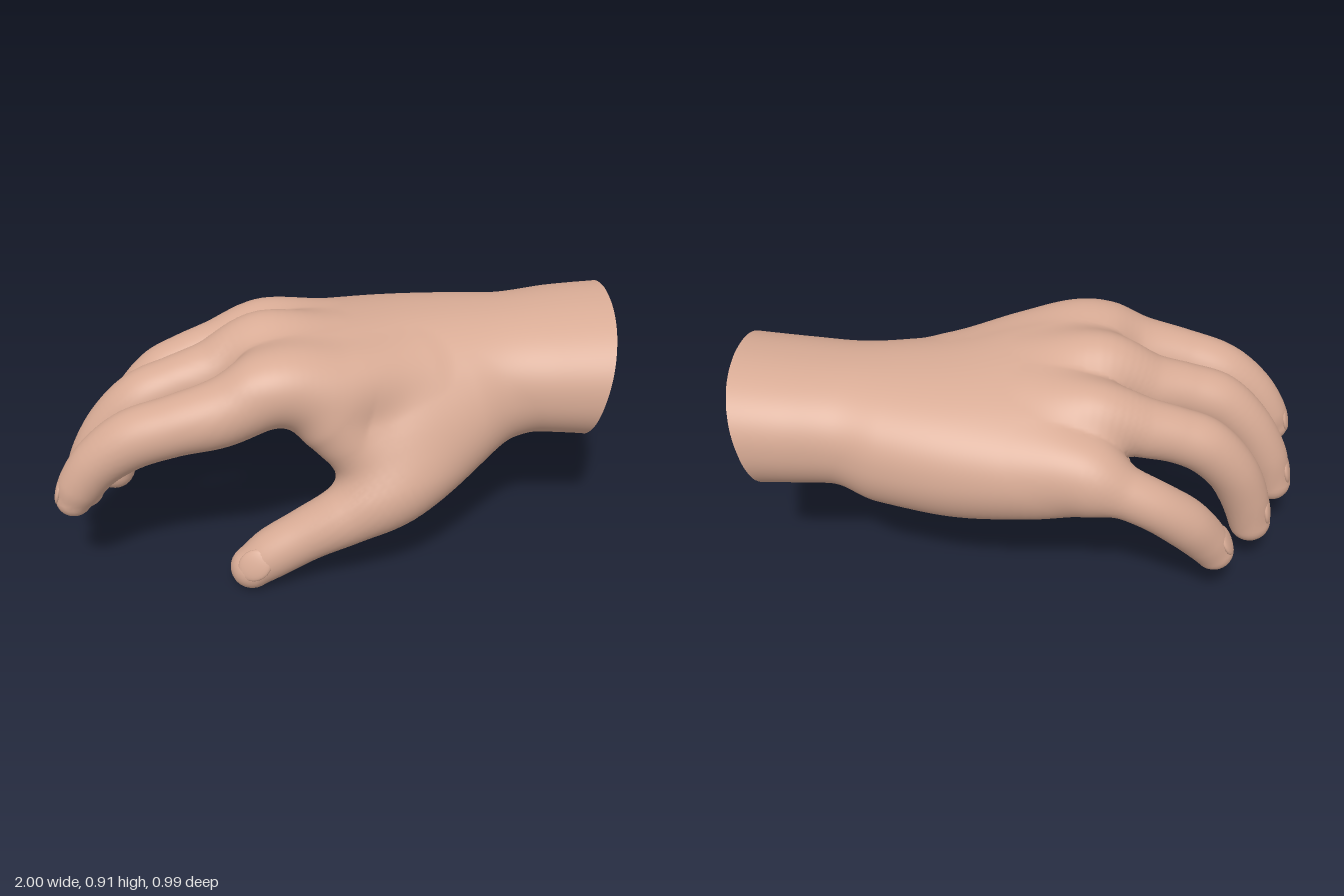
import * as THREE from 'three';

// Joint chains: x, y, z, radius from the palm to the tip
const FINGERS = {
  indexFinger: [[.27, .69, .11, .12], [.03, .725, .25, .122], [-.2, .755, .315, .128], [-.4, .682, .36, .118], [-.55, .646, .38, .106], [-.7, .596, .386, .103], [-.815, .512, .39, .091], [-.885, .42, .39, .08], [-.915, .362, .39, .064]],
  middleFinger: [[-.03, .75, .02, .1], [-.25, .788, .05, .124], [-.44, .702, .085, .112], [-.57, .667, .115, .102], [-.69, .62, .138, .102], [-.8, .52, .148, .093], [-.88, .385, .157, .086], [-.924, .257, .16, .072]],
  ringFinger: [[-.05, .73, -.16, .1], [-.25, .735, -.18, .122], [-.44, .675, -.152, .106], [-.55, .64, -.13, .099], [-.65, .59, -.107, .1], [-.75, .48, -.08, .094], [-.81, .35, -.055, .088], [-.845, .218, -.043, .077]],
  littleFinger: [[-.05, .63, -.33, .1], [-.23, .625, -.355, .112], [-.38, .56, -.372, .093], [-.5, .495, -.36, .088], [-.6, .408, -.324, .09], [-.67, .317, -.286, .083], [-.716, .244, -.264, .072]],
  thumb: [[.55, .53, .03, .13], [.38, .46, .17, .16], [.2, .375, .315, .153], [.05, .29, .375, .113], [-.1, .208, .387, .096], [-.22, .137, .397, .091], [-.3, .08, .408, .078]]
};
const HEEL = [[.45, .56, -.26, .17], [.2, .55, -.285, .185], [-.05, .56, -.315, .164], [-.25, .57, -.34, .13]];
const WEB = [[.44, .57, .11, .13], [.28, .56, .2, .135], [.15, .53, .275, .122], [.06, .54, .315, .105], [-.02, .62, .315, .105]];

// Palm and wrist sections along x: centre y, centre z, half height, half width, slope
const SECTION_X = [-.4, -.3, -.15, .05, .25, .45, .6, .8, 1.1];
const SECTIONS = new THREE.CubicInterpolant(SECTION_X, [
  .68, -.01, .1, .4, .2,
  .69, -.01, .135, .42, .2,
  .69, -.02, .18, .435, .15,
  .65, -.05, .222, .425, .08,
  .625, -.1, .238, .38, .03,
  .62, -.125, .24, .34, 0,
  .63, -.13, .229, .31, -.03,
  .637, -.145, .237, .323, -.06,
  .635, -.155, .258, .337, -.07
], 5, new Float32Array(5));
const POWER = 2.2;

const smin = (a, b, k) => {
  const h = Math.max(k - Math.abs(a - b), 0) / k;
  return Math.min(a, b) - h * h * k / 4;
};
const smax = (a, b, k) => -smin(-a, -b, k);
const wristX = (y, z) => .943 + .225 * (y - .635) + .06 * (z + .155);

// Distance to a smooth chain of tapered round segments
function chain(points) {
  const curve = new THREE.CatmullRomCurve3(points.map(p => new THREE.Vector3(p[0], p[1], p[2])));
  const radius = new THREE.SplineCurve(points.map((p, i) => new THREE.Vector2(i, p[3])));
  const n = (points.length - 1) * 9, nodes = [];
  const box = new THREE.Box3();
  for (let i = 0; i <= n; i++) {
    const p = curve.getPoint(i / n);
    nodes.push([p.x, p.y, p.z, radius.getPoint(i / n).y]);
    box.expandByPoint(p);
  }
  box.expandByScalar(Math.max(...points.map(p => p[3])));
  const probe = new THREE.Vector3();
  return (x, y, z) => {
    const far = box.distanceToPoint(probe.set(x, y, z));
    if (far > .12) return far;
    let best = 9;
    for (let i = 0; i < n; i++) {
      const a = nodes[i], b = nodes[i + 1];
      const bx = b[0] - a[0], by = b[1] - a[1], bz = b[2] - a[2];
      const px = x - a[0], py = y - a[1], pz = z - a[2];
      const t = Math.min(1, Math.max(0, (px * bx + py * by + pz * bz) / (bx * bx + by * by + bz * bz)));
      const qx = px - t * bx, qy = py - t * by, qz = pz - t * bz;
      const d = Math.sqrt(qx * qx + qy * qy + qz * qz) - a[3] - t * (b[3] - a[3]);
      if (d < best) best = d;
    }
    return best;
  };
}

const NAMES = Object.keys(FINGERS);
const fields = NAMES.map(name => chain(FINGERS[name]));
const longFingers = fields.slice(0, 4), thumb = fields[4];
const heel = chain(HEEL), web = chain(WEB);

// Palm and forearm: oval sections, heel pad, thumb web and a shallow hollow below
function palm(x, y, z) {
  const [cy, cz, ry, rz, slope] = SECTIONS.evaluate(x);
  const a = Math.abs(y - cy - slope * (z - cz)) / ry, b = Math.abs(z - cz) / rz;
  const n = Math.pow(a ** POWER + b ** POWER, 1 / POWER);
  let d = -.12;
  if (n > .3) {
    const grad = Math.hypot(a ** (POWER - 1) / ry, b ** (POWER - 1) / rz) / n ** (POWER - 1);
    d = (n - 1) / grad;
  }
  d = smax(d, -.35 - x, .1);
  d = smin(smin(d, heel(x, y, z), .07), web(x, y, z), .1);
  return smax(d, .15 - Math.hypot(x + .1, y - .385, z - .06), .1);
}

// Long fingers blend into the palm and thumb but not into their neighbours
function hand(x, y, z) {
  const body = smin(palm(x, y, z), thumb(x, y, z), .1);
  let d = body;
  for (const f of longFingers) d = Math.min(d, smin(body, f(x, y, z), .06));
  return d;
}

// Continuous skin over the distance field, divided into named parts
function buildSkin() {
  const h = .016, lo = [-1.06, -.06, -.56], size = [134, 65, 71];
  const step = [1, size[0], size[0] * size[1]], total = step[2] * size[2];
  const value = new Float32Array(total), vertex = new Int32Array(total).fill(-1);
  const at = (i, j, k) => i + j * step[1] + k * step[2];
  for (let k = 0; k < size[2]; k++) for (let j = 0; j < size[1]; j++) for (let i = 0; i < size[0]; i++)
    value[at(i, j, k)] = hand(lo[0] + i * h, lo[1] + j * h, lo[2] + k * h);

  const positions = [], normals = [], beyond = [];
  const gradient = (x, y, z) => {
    const e = .01;
    return new THREE.Vector3(hand(x + e, y, z) - hand(x - e, y, z),
      hand(x, y + e, z) - hand(x, y - e, z), hand(x, y, z + e) - hand(x, y, z - e)).normalize();
  };
  for (let k = 0; k < size[2] - 1; k++) for (let j = 0; j < size[1] - 1; j++) for (let i = 0; i < size[0] - 1; i++) {
    const base = at(i, j, k), sum = [0, 0, 0];
    let count = 0;
    for (let c = 0; c < 8; c++) for (let axis = 0; axis < 3; axis++) {
      if (c >> axis & 1) continue;
      const bits = [c & 1, c >> 1 & 1, c >> 2 & 1];
      const p = base + at(...bits), a = value[p], b = value[p + step[axis]];
      if ((a < 0) === (b < 0)) continue;
      bits[axis] += a / (a - b);
      bits.forEach((v, m) => { sum[m] += v; });
      count++;
    }
    if (!count) continue;
    const p = new THREE.Vector3(i + sum[0] / count, j + sum[1] / count, k + sum[2] / count)
      .multiplyScalar(h).add(new THREE.Vector3(...lo));
    const normal = gradient(p.x, p.y, p.z);
    p.addScaledVector(normal, -THREE.MathUtils.clamp(hand(p.x, p.y, p.z), -h / 3, h / 3));
    const cut = wristX(p.y, p.z);
    vertex[base] = beyond.length;
    beyond.push(p.x > cut);
    positions.push(Math.min(p.x, cut), p.y, p.z);
    normals.push(normal.x, normal.y, normal.z);
  }

  const parts = [...NAMES.map(() => []), []];
  const addTriangle = tri => {
    if (tri.every(v => beyond[v])) return;
    const c = [0, 1, 2].map(m => tri.reduce((s, v) => s + positions[v * 3 + m] / 3, 0));
    const distances = [...fields.map(f => f(...c)), palm(...c)];
    parts[distances.indexOf(Math.min(...distances))].push(...tri);
  };
  for (let k = 1; k < size[2] - 1; k++) for (let j = 1; j < size[1] - 1; j++) for (let i = 1; i < size[0] - 1; i++)
    for (let axis = 0; axis < 3; axis++) {
      const p = at(i, j, k), inside = value[p] < 0;
      if (inside === (value[p + step[axis]] < 0)) continue;
      const u = step[(axis + 1) % 3], v = step[(axis + 2) % 3];
      const q = [p, p - u, p - u - v, p - v].map(c => vertex[c]);
      if (!inside) q.reverse();
      addTriangle([q[0], q[1], q[2]]);
      addTriangle([q[0], q[2], q[3]]);
    }
  const position = new THREE.Float32BufferAttribute(positions, 3);
  const normal = new THREE.Float32BufferAttribute(normals, 3);
  return parts.map(index => new THREE.BufferGeometry()
    .setAttribute('position', position).setAttribute('normal', normal).setIndex(index));
}

// Flat slanted face where the forearm ends
function buildWristCut() {
  const [cy, cz, ry, rz, slope] = SECTIONS.evaluate(.95), n = 72;
  const points = [wristX(cy, cz), cy, cz], index = [];
  const bend = v => Math.sign(v) * Math.abs(v) ** (2 / POWER);
  for (let i = 0; i < n; i++) {
    const t = i / n * Math.PI * 2, dz = rz * bend(Math.sin(t));
    const y = cy + ry * bend(Math.cos(t)) + slope * dz;
    points.push(wristX(y, cz + dz), y, cz + dz);
    index.push(0, 1 + i, 1 + (i + 1) % n);
  }
  const geometry = new THREE.BufferGeometry().setIndex(index);
  geometry.setAttribute('position', new THREE.Float32BufferAttribute(points, 3));
  geometry.computeVertexNormals();
  return geometry;
}

// Thin curved nail on the outer side of a fingertip, tilted with the taper
function buildNail(name, material) {
  const [a, b] = FINGERS[name].slice(-2), r = THREE.MathUtils.lerp(a[3], b[3], .6);
  const tip = new THREE.Vector3(...b.slice(0, 3)), prev = new THREE.Vector3(...a.slice(0, 3));
  const along = tip.clone().sub(prev), taper = (a[3] - b[3]) / along.length();
  along.normalize();
  const out = name === 'thumb' ? new THREE.Vector3(-.3, .3, .9) : new THREE.Vector3(-1, .4, 0);
  out.addScaledVector(along, -out.dot(along)).normalize().addScaledVector(along, taper).normalize();
  along.addScaledVector(out, -along.dot(out)).normalize();
  const nail = new THREE.Mesh(new THREE.SphereGeometry(1, 20, 12), material);
  nail.scale.set(r * .66, r * .2, r * .8);
  nail.quaternion.setFromRotationMatrix(new THREE.Matrix4().makeBasis(out.clone().cross(along), out, along));
  nail.position.lerpVectors(prev, tip, .6).addScaledVector(out, r * .855);
  nail.name = name + 'Nail';
  return nail;
}

export function createModel() {
  const group = new THREE.Group();
  group.name = 'hand';
  const skin = new THREE.MeshStandardMaterial({ color: 0xd8ab95 });
  skin.name = 'skin';
  const add = (geometry, name) => {
    const mesh = new THREE.Mesh(geometry, skin);
    mesh.name = name;
    group.add(mesh);
  };
  buildSkin().forEach((geometry, i) => add(geometry, NAMES[i] || 'palmAndWrist'));
  add(buildWristCut(), 'wristCut');
  NAMES.forEach(name => group.add(buildNail(name, skin)));
  return group;
}
